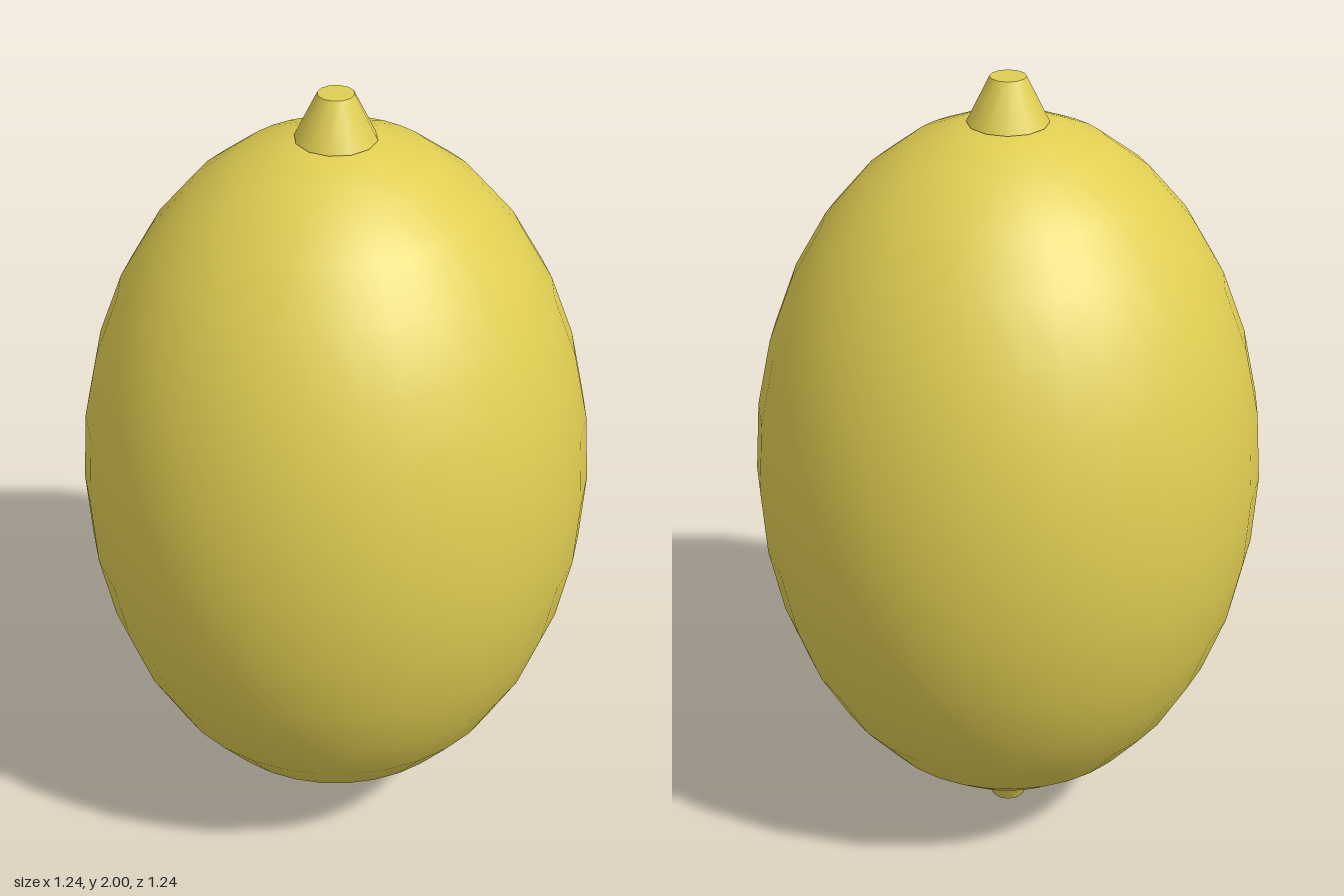
import * as THREE from 'three';

export function createModel() {
  const model = new THREE.Group();
  model.name = 'lemon';
  const lemonYellow = new THREE.MeshStandardMaterial({ color: 0xe0ce52 });
  lemonYellow.name = 'lemonYellow';

  // Ellipsoid fruit body
  const bodyGeometry = new THREE.SphereGeometry(1, 32, 16);
  bodyGeometry.scale(0.62, 0.9, 0.62);
  const body = new THREE.Mesh(bodyGeometry, lemonYellow);
  body.name = 'body';
  body.position.y = 1;
  model.add(body);

  // Tapered nubs at both ends, the lower one turned upside down
  for (const [name, side] of [['topTip', 1], ['bottomTip', -1]]) {
    const tip = new THREE.Mesh(new THREE.CylinderGeometry(0.043, 0.097, 0.11, 12), lemonYellow);
    tip.name = name;
    tip.position.y = 1 + side * 0.945;
    if (side < 0) tip.rotation.x = Math.PI;
    model.add(tip);
  }
  return model;
}
